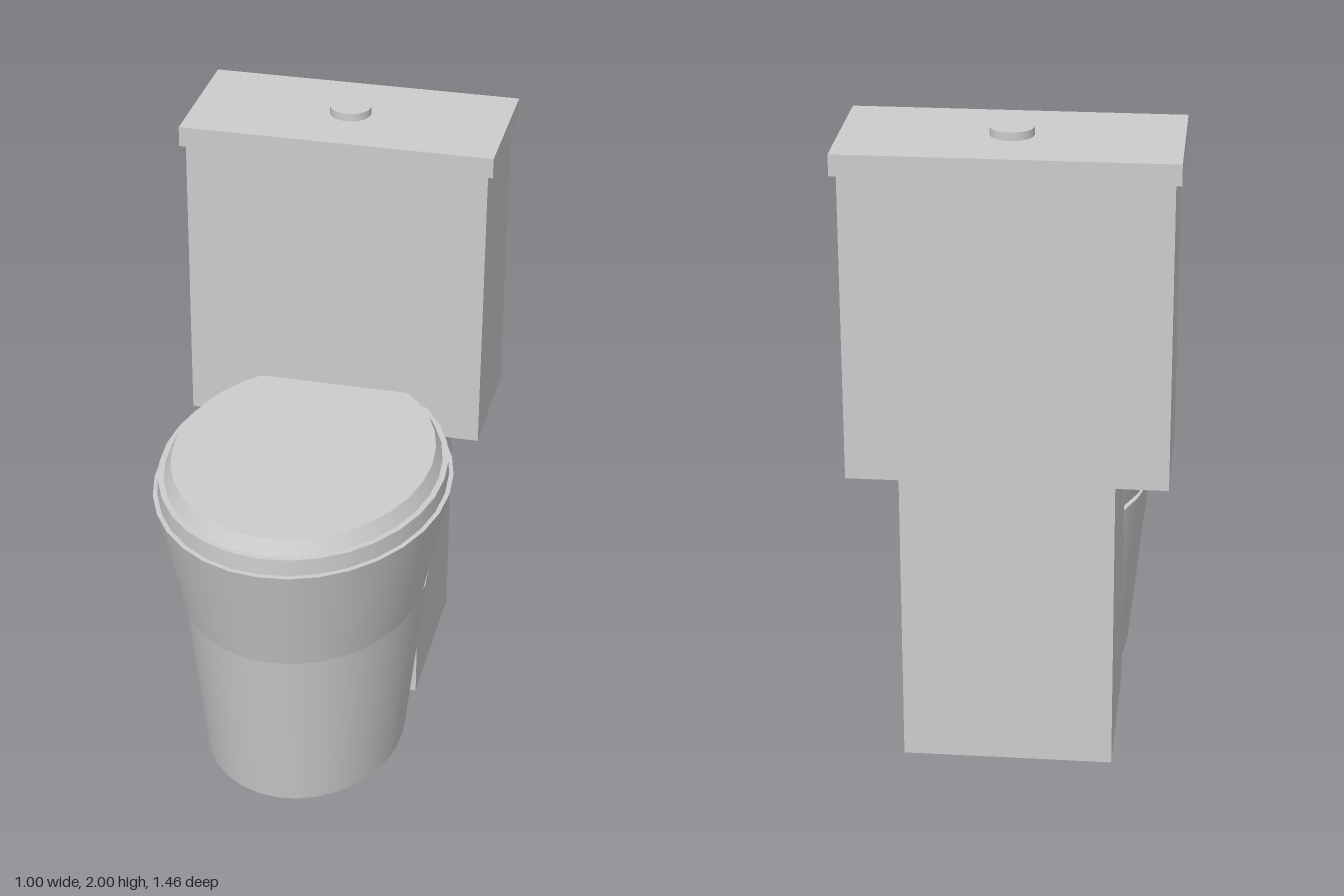
import * as THREE from 'three';

export function createModel() {
  const model = new THREE.Group();
  model.name = 'toilet';
  const ceramic = new THREE.MeshStandardMaterial({ color: 0xcccccc });
  ceramic.name = 'ceramic grey';

  const add = (name, geometry, x, y, z) => {
    const mesh = new THREE.Mesh(geometry, ceramic);
    mesh.name = name;
    mesh.position.set(x, y, z);
    model.add(mesh);
  };

  // Box spanning y0..y1 and z0..z1, centred on x
  const box = (name, width, y0, y1, z0, z1) =>
    add(name, new THREE.BoxGeometry(width, y1 - y0, z1 - z0), 0, (y0 + y1) / 2, (z0 + z1) / 2);

  // Tapered elliptical drum: half-widths at bottom and top, depth/width ratio
  const drum = (name, bottom, top, y0, y1, z, ratio) => {
    const geometry = new THREE.CylinderGeometry(top, bottom, y1 - y0, 32);
    geometry.scale(1, 1, ratio);
    add(name, geometry, 0, (y0 + y1) / 2, z);
  };

  // Foot and bowl
  drum('pedestal', 0.33, 0.395, 0, 0.62, 0.11, 1.27);
  drum('bowl', 0.392, 0.47, 0.615, 1.0, 0.14, 1.25);
  box('rearSupport', 0.65, 0, 0.95, -0.695, -0.14);

  // Seat and closed cover
  drum('seat', 0.455, 0.453, 1.0, 1.055, 0.14, 1.255);
  drum('seatCover', 0.434, 0.412, 1.055, 1.1, 0.14, 1.27);

  // Water tank
  box('tank', 0.97, 0.95, 1.913, -0.705, -0.277);
  box('tankLid', 1.005, 1.91, 1.975, -0.73, -0.262);
  drum('flushButton', 0.066, 0.066, 1.975, 2.0, -0.495, 1);

  return model;
}
